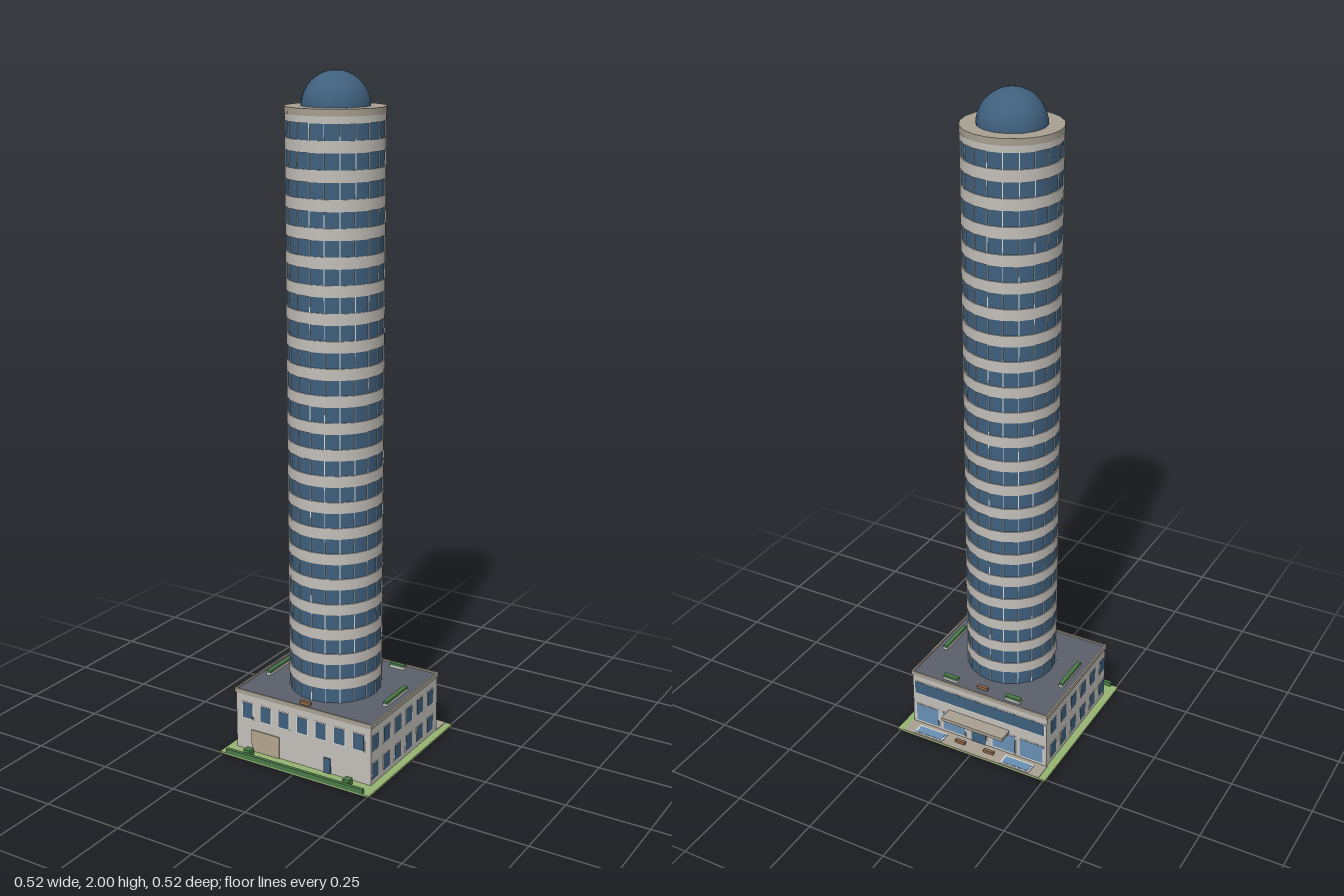
import * as THREE from 'three';

const mat = (color) => new THREE.MeshStandardMaterial({ color });

export function createModel() {
  const model = new THREE.Group();
  const M = {
    wall: mat(0xc4c0ba), glass: mat(0x3f607e), shop: mat(0x6890b4), roof: mat(0x5a606c),
    tan: mat(0xa8a092), grass: mat(0x96b472), hedge: mat(0x4a7a48), wood: mat(0x8f6648),
    soil: mat(0x4b4741), frame: mat(0xdcdad4), panel: mat(0xb5a68f),
  };

  const add = (name, geometry, material, x, y, z, parent = model) => {
    const mesh = new THREE.Mesh(geometry, material);
    mesh.name = name;
    mesh.position.set(x, y, z);
    parent.add(mesh);
    return mesh;
  };
  // Box given by its extents
  const box = (name, material, x0, x1, y0, y1, z0, z1, parent) =>
    add(name, new THREE.BoxGeometry(x1 - x0, y1 - y0, z1 - z0), material,
      (x0 + x1) / 2, (y0 + y1) / 2, (z0 + z1) / 2, parent);

  // Plot of land
  box('groundBase', M.soil, -0.258, 0.258, 0, 0.003, -0.26, 0.256);
  box('lawn', M.grass, -0.258, 0.258, 0.003, 0.007, -0.26, 0.256);
  box('backPaving', M.tan, -0.236, 0.236, 0.007, 0.009, -0.26, -0.2);

  // Podium with parapet around a dark roof
  box('podium', M.wall, -0.233, 0.233, 0.005, 0.188, -0.203, 0.201);
  box('podiumRoof', M.roof, -0.231, 0.231, 0.188, 0.195, -0.201, 0.199);
  for (const s of [-1, 1]) {
    box('parapetSide', M.tan, s * 0.233 - 0.0025, s * 0.233 + 0.0025, 0.186, 0.2, -0.206, 0.204);
    const z = -0.001 + s * 0.2025;
    box('parapetEnd', M.tan, -0.2355, 0.2355, 0.186, 0.2, z - 0.0025, z + 0.0025);
  }

  // Framed pane on a wall; the group is turned to face outward
  const pane = (name, x, y, z, turn, w, h, glass) => {
    const g = new THREE.Group();
    g.name = name;
    g.position.set(x, y, z);
    g.rotation.y = turn;
    box('frame', M.frame, -w / 2 - 0.003, w / 2 + 0.003, -h / 2 - 0.003, h / 2 + 0.003, -0.002, 0.0008, g);
    box('pane', glass, -w / 2, w / 2, -h / 2, h / 2, -0.002, 0.0016, g);
    model.add(g);
  };

  // Front wall: upper windows, loading door and entrance
  for (let i = -3; i <= 3; i++) pane('frontWindow', i * 0.064, 0.135, 0.201, 0, 0.035, 0.05, M.glass);
  box('loadingDoor', M.panel, -0.178, -0.08, 0.007, 0.076, 0.2, 0.2045);
  box('frontDoor', M.glass, 0.075, 0.098, 0.007, 0.055, 0.2, 0.2045);

  // Side walls: two rows of six windows
  for (const s of [-1, 1]) for (const y of [0.047, 0.135]) for (let i = 0; i < 6; i++) {
    pane('sideWindow', s * 0.233, y, 0.177 - i * 0.067, s * Math.PI / 2, 0.035, 0.048, M.glass);
  }

  // Back wall: ribbon window, shop fronts, door and canopy
  pane('ribbonWindow', 0, 0.142, -0.203, Math.PI, 0.45, 0.042, M.glass);
  for (const x of [-0.182, -0.087, 0.087, 0.182]) pane('shopWindow', x, 0.048, -0.203, Math.PI, 0.078, 0.062, M.shop);
  pane('backDoor', 0, 0.043, -0.203, Math.PI, 0.05, 0.07, M.glass);
  box('canopy', M.tan, -0.106, 0.106, 0.085, 0.096, -0.248, -0.2);

  // Ponds and benches behind the building, hedges at the front
  for (const s of [-1, 1]) {
    box('pondRim', M.frame, s * 0.151 - 0.049, s * 0.151 + 0.049, 0.008, 0.012, -0.257, -0.218);
    box('pondWater', M.shop, s * 0.151 - 0.044, s * 0.151 + 0.044, 0.009, 0.013, -0.252, -0.223);
    box('bench', M.wood, s * 0.05 - 0.017, s * 0.05 + 0.017, 0.008, 0.018, -0.236, -0.226);
    box('shrub', M.hedge, s * 0.172 - 0.011, s * 0.172 + 0.011, 0.006, 0.027, 0.219, 0.241);
  }
  box('frontHedge', M.hedge, -0.236, 0.236, 0.006, 0.021, 0.246, 0.256);

  // Roof garden
  const planter = (x, z, w, d) => {
    box('planterTrough', M.frame, x - w / 2, x + w / 2, 0.195, 0.202, z - d / 2, z + d / 2);
    box('planterHedge', M.hedge, x - w / 2 + 0.001, x + w / 2 - 0.001, 0.2, 0.209, z - d / 2 + 0.001, z + d / 2 - 0.001);
  };
  for (const s of [-1, 1]) {
    planter(s * 0.204, 0.008, 0.015, 0.126);
    planter(s * 0.108, -0.18, 0.051, 0.016);
    box('roofBench', M.wood, -0.017, 0.017, 0.195, 0.205, 0.003 + s * 0.178 - 0.005, 0.003 + s * 0.178 + 0.005);
  }

  // Round tower: a glass core ringed by a grey band on every floor
  const tower = new THREE.Group();
  tower.name = 'tower';
  tower.position.z = 0.01;
  model.add(tower);
  const SIDES = 20, FLOORS = 22, base = 0.195, top = 1.9, pitch = (top - base) / FLOORS;
  add('towerGlass', new THREE.CylinderGeometry(0.137, 0.137, top - base, SIDES), M.glass, 0, (top + base) / 2, 0, tower);
  const bandHeight = 0.033;
  const band = new THREE.CylinderGeometry(0.14, 0.14, bandHeight, SIDES);
  for (let i = 1; i <= FLOORS; i++) add('floorBand', band, M.wall, 0, base + i * pitch - bandHeight / 2, 0, tower);

  // Slim mullions at each corner of the tower
  const mullion = new THREE.BoxGeometry(0.002, top - base, 0.003);
  for (let i = 0; i < SIDES; i++) {
    const a = (i / SIDES) * Math.PI * 2;
    const m = add('mullion', mullion, M.frame, Math.sin(a) * 0.1375, (top + base) / 2, Math.cos(a) * 0.1375, tower);
    m.rotation.y = a;
  }

  // Crown slab and dome
  add('crown', new THREE.CylinderGeometry(0.141, 0.141, 0.019, SIDES), M.tan, 0, 1.8955, 0, tower);
  add('dome', new THREE.SphereGeometry(0.097, 16, 10, 0, Math.PI * 2, 0, Math.PI / 2), M.glass, 0, 1.903, 0, tower);

  return model;
}
